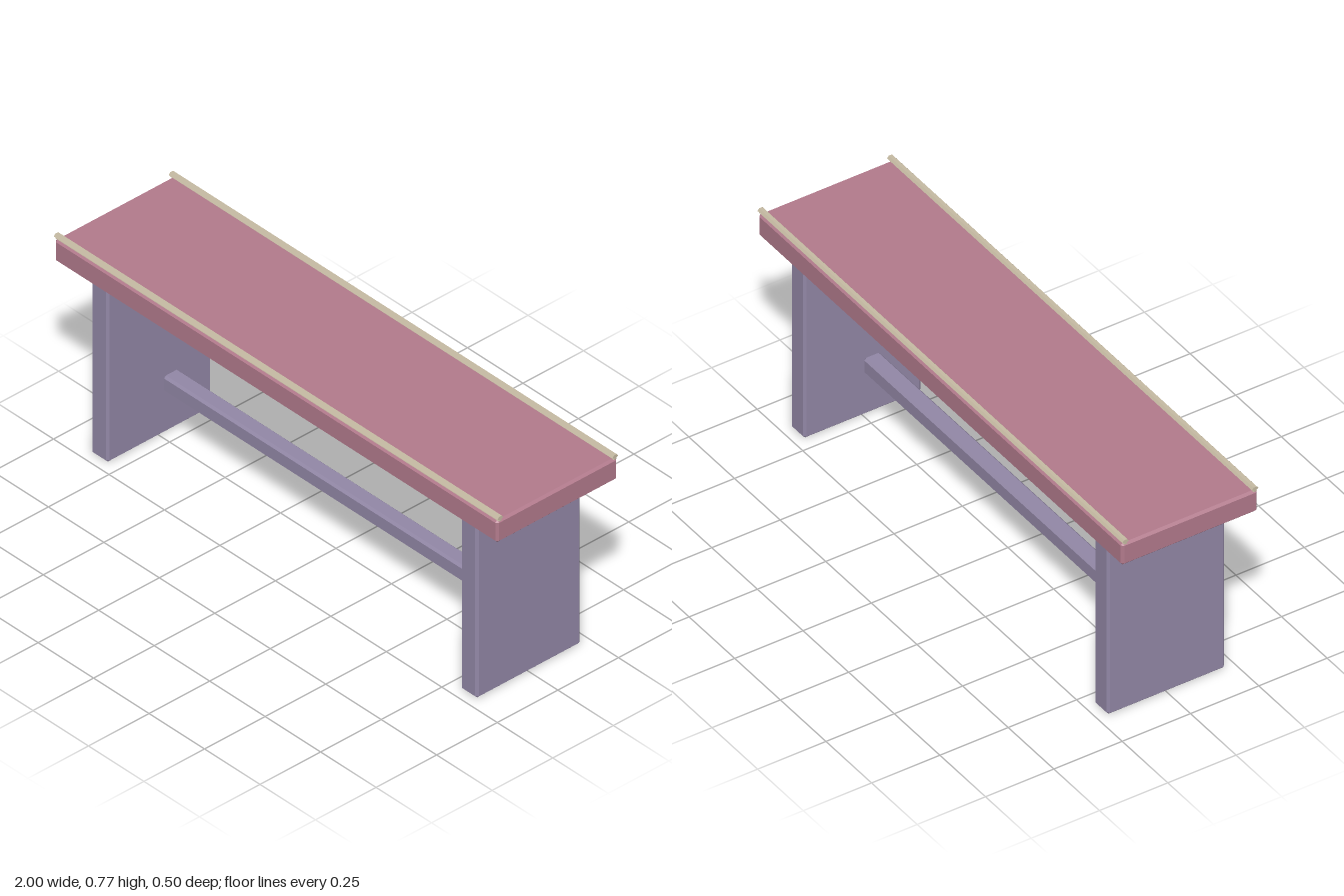
import * as THREE from 'three';
import { ConvexGeometry } from 'three/addons/geometries/ConvexGeometry.js';

const pink = new THREE.MeshStandardMaterial({ name: 'dusty pink', color: 0xb27a8c });
const purple = new THREE.MeshStandardMaterial({ name: 'muted purple', color: 0x9287a6 });
const beige = new THREE.MeshStandardMaterial({ name: 'beige trim', color: 0xc6bba3 });

// Box with flat chamfers: each corner is cut into three points, one per face
function chamferBox(w, h, d, c) {
  const half = [w / 2, h / 2, d / 2], points = [];
  for (const sx of [-1, 1]) for (const sy of [-1, 1]) for (const sz of [-1, 1])
    for (let axis = 0; axis < 3; axis++) {
      const p = half.map((v, i) => (i === axis ? v : v - c));
      points.push(new THREE.Vector3(sx * p[0], sy * p[1], sz * p[2]));
    }
  return new ConvexGeometry(points);
}

export function createModel() {
  const group = new THREE.Group();
  group.name = 'bench';
  const add = (name, geometry, material, x, y, z) => {
    const mesh = new THREE.Mesh(geometry, material);
    mesh.name = name;
    mesh.position.set(x, y, z);
    group.add(mesh);
  };

  // Seat slab
  add('seat', chamferBox(1.996, 0.083, 0.498, 0.008), pink, 0, 0.7095, 0);

  // Slab legs, mirrored
  const leg = chamferBox(0.076, 0.668, 0.43, 0.008);
  add('leftLeg', leg, purple, 0.832, 0.334, 0);
  add('rightLeg', leg, purple, -0.832, 0.334, 0);

  // Stretcher between the legs
  add('stretcher', chamferBox(1.5, 0.06, 0.06, 0.008), purple, 0, 0.235, 0);

  // Edge rails: mushroom-shaped section run along the seat
  const section = new THREE.Shape([
    [-0.006, -0.001], [0.006, -0.001], [0.004, 0.004], [0.012, 0.008],
    [0.006, 0.016], [-0.006, 0.016], [-0.012, 0.008], [-0.004, 0.004],
  ].map(([x, y]) => new THREE.Vector2(x, y)));
  const rail = new THREE.ExtrudeGeometry(section, { depth: 2, bevelEnabled: false });
  rail.translate(0, 0, -1).rotateY(Math.PI / 2);
  add('frontRail', rail, beige, 0, 0.751, 0.237);
  add('backRail', rail, beige, 0, 0.751, -0.237);

  return group;
}
